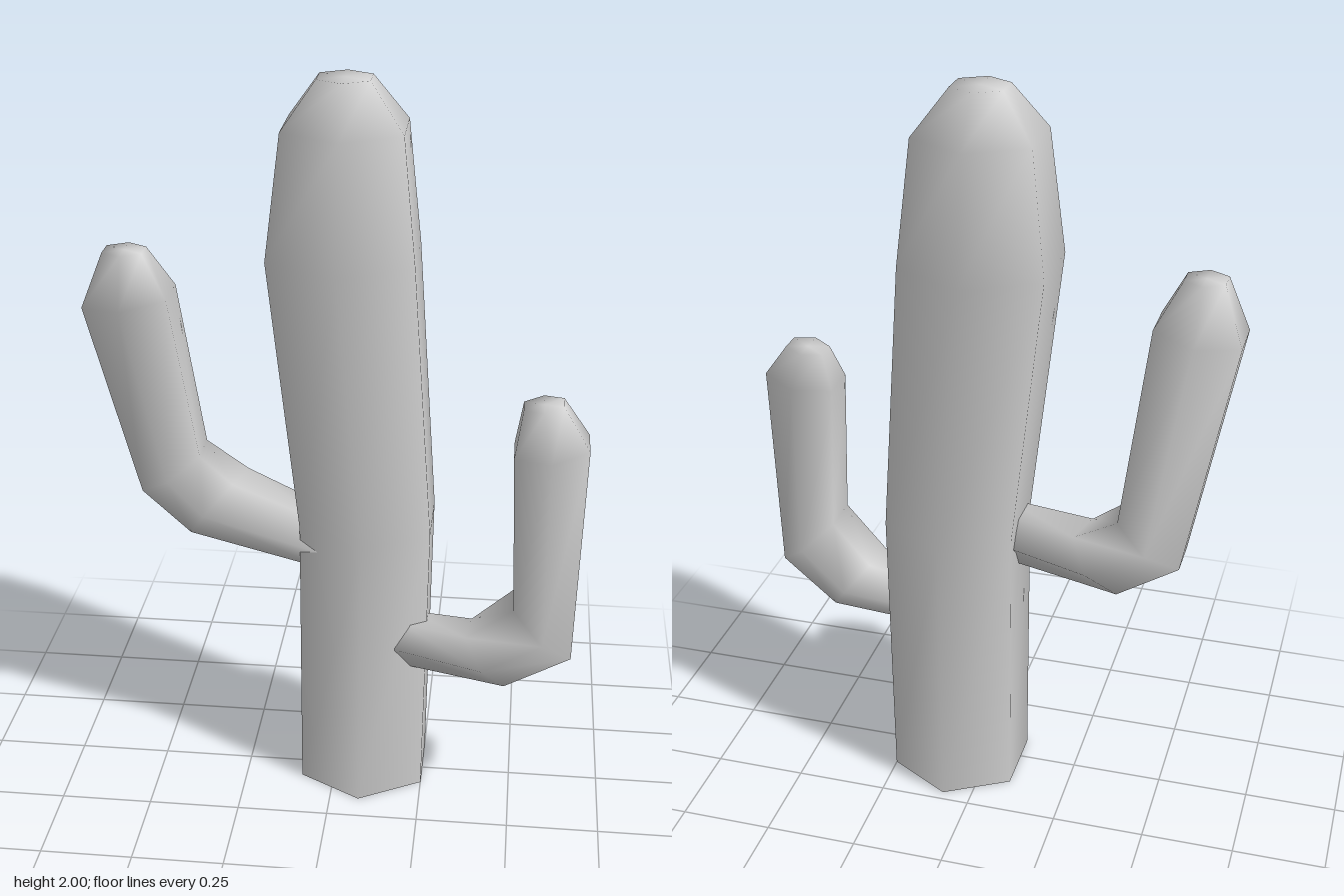
import * as THREE from 'three';

const SIDES = 6;
const rad = THREE.MathUtils.degToRad;

// Skins hexagonal rings [x, y, z, radius, tilt, yaw] (degrees); open at the root, closed at the tip.
function stem(name, rings, material) {
  const positions = [];
  const index = [];
  for (const [x, y, z, r, tilt = 0, yaw = 0] of rings) {
    const u = new THREE.Vector3(Math.cos(rad(tilt)), Math.sin(rad(tilt)), 0);
    const v = new THREE.Vector3(Math.sin(rad(yaw)), 0, Math.cos(rad(yaw)));
    for (let k = 0; k < SIDES; k++) {
      const t = ((k + 0.5) / SIDES) * Math.PI * 2;
      const p = new THREE.Vector3(x, y, z)
        .addScaledVector(u, r * Math.cos(t))
        .addScaledVector(v, r * Math.sin(t));
      positions.push(p.x, p.y, p.z);
    }
  }
  for (let i = 0; i < rings.length - 1; i++) {
    for (let k = 0; k < SIDES; k++) {
      const a = i * SIDES + k;
      const d = i * SIDES + ((k + 1) % SIDES);
      index.push(a, a + SIDES, d, a + SIDES, d + SIDES, d);
    }
  }
  // flat tip sharing its rim, so the shading rounds over it
  const rim = (rings.length - 1) * SIDES;
  const centre = positions.length / 3;
  positions.push(...rings[rings.length - 1].slice(0, 3));
  for (let k = 0; k < SIDES; k++) index.push(rim + k, centre, rim + ((k + 1) % SIDES));

  const geometry = new THREE.BufferGeometry();
  geometry.setAttribute('position', new THREE.Float32BufferAttribute(positions, 3));
  geometry.setIndex(index);
  geometry.computeVertexNormals();
  const mesh = new THREE.Mesh(geometry, material);
  mesh.name = name;
  return mesh;
}

export function createModel() {
  const group = new THREE.Group();
  group.name = 'cactus';
  const material = new THREE.MeshStandardMaterial({ color: 0xcccccc, side: THREE.DoubleSide });

  // slightly bent trunk, swelling towards the top
  group.add(stem('trunk', [
    [0.08, 0, -0.025, 0.197],
    [0.085, 0.8, -0.025, 0.203],
    [0.017, 1.55, -0.03, 0.22],
    [0.02, 1.88, -0.027, 0.178],
    [0.018, 2, -0.032, 0.078],
  ], material));

  // lower arm, on the model's left
  group.add(stem('leftArm', [
    [0.2, 0.467, 0.055, 0.075, -90, -21],
    [0.427, 0.467, 0.11, 0.105, -53, -8],
    [0.57, 0.58, 0.135, 0.12, -41],
    [0.57, 1.095, 0.12, 0.112, 9],
    [0.545, 1.198, 0.085, 0.06, 8],
  ], material));

  // higher arm, on the model's right, swinging back and then forward
  group.add(stem('rightArm', [
    [0, 0.745, 0.035, 0.08, 90, -22],
    [-0.34, 0.782, -0.107, 0.113, 52, -15],
    [-0.468, 0.875, -0.125, 0.115, 34],
    [-0.547, 1.415, -0.01, 0.13, 7],
    [-0.55, 1.547, 0.005, 0.06],
  ], material));

  return group;
}
